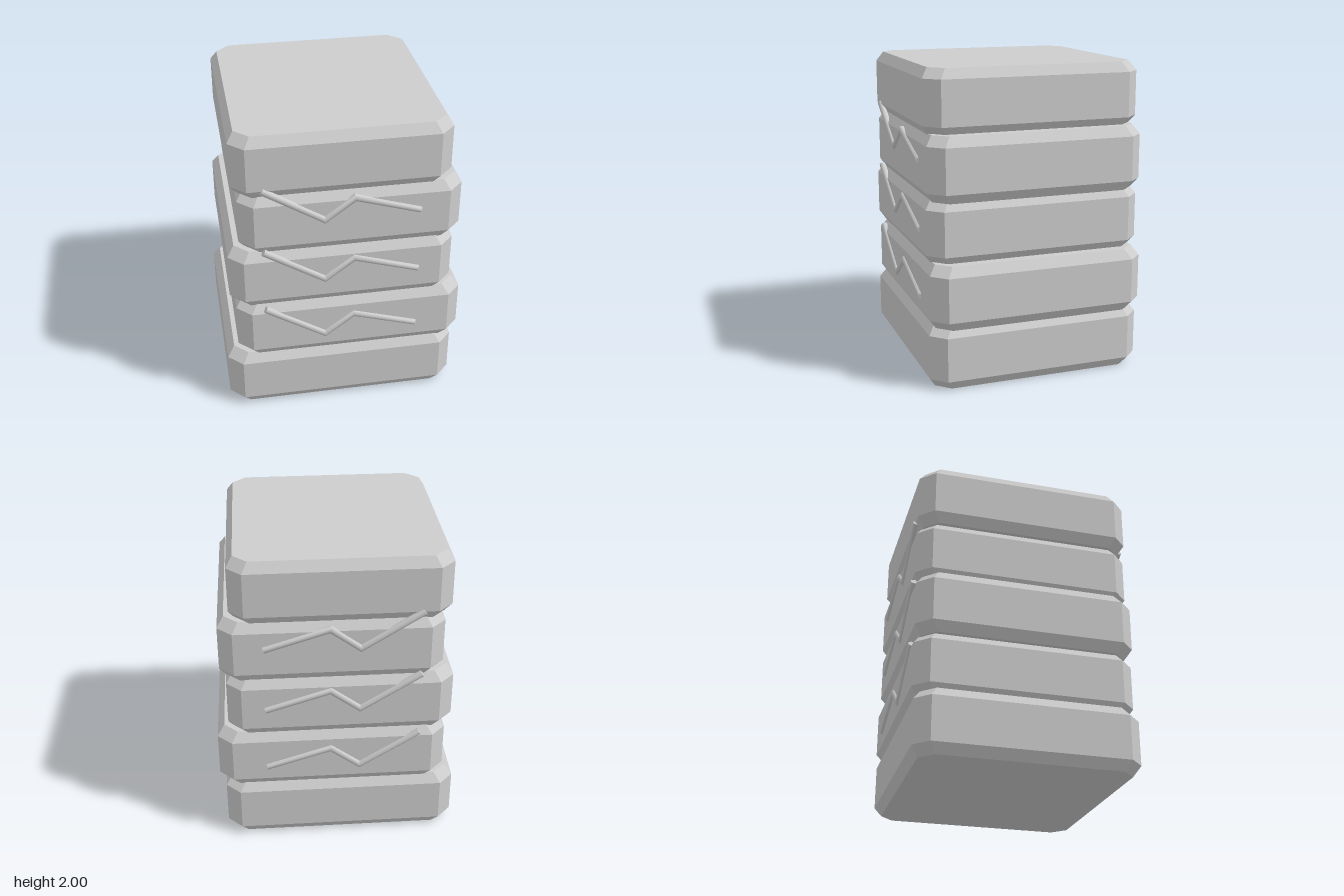
import * as THREE from 'three';
import { toCreasedNormals } from 'three/addons/utils/BufferGeometryUtils.js';
import { ConvexGeometry } from 'three/addons/geometries/ConvexGeometry.js';

const stone = new THREE.MeshStandardMaterial({ color: 0xcccccc });
stone.name = 'grey stone';

const HEIGHT = 0.412, PITCH = 0.397, HALF_DEPTH = 0.707;

// Block with cut corners, drawn in a little at its top and bottom
function blockGeometry(hx, hz) {
  const cut = 0.092, h = HEIGHT / 2, points = [];
  for (const [y, s] of [[-h, 0.94], [-h + 0.063, 1], [h - 0.063, 1], [h, 0.94]]) {
    for (const sx of [-1, 1]) for (const sz of [-1, 1]) {
      points.push(new THREE.Vector3(sx * hx * s, y, sz * (hz - cut) * s));
      points.push(new THREE.Vector3(sx * (hx - cut) * s, y, sz * hz * s));
    }
  }
  return new ConvexGeometry(points);
}

// Round rod bent along a zigzag, with mitred joints
function crackGeometry(path, radius) {
  const last = path.length - 1;
  const mitres = path.map((p, i) => {
    const normal = (a, b) => new THREE.Vector2(a.y - b.y, b.x - a.x).normalize();
    const before = normal(path[Math.max(i - 1, 0)], path[Math.max(i, 1)]);
    const after = normal(path[Math.min(i, last - 1)], path[Math.min(i + 1, last)]);
    const m = before.clone().add(after).normalize();
    return m.divideScalar(m.dot(before));
  });
  const geometry = new THREE.CylinderGeometry(radius, radius, 1, 12, last);
  const pos = geometry.attributes.position;
  for (let v = 0; v < pos.count; v++) {
    const i = Math.round((0.5 - pos.getY(v)) * last), x = pos.getX(v);
    pos.setXY(v, path[i].x + mitres[i].x * x, path[i].y + mitres[i].y * x);
  }
  return toCreasedNormals(geometry, 0.7);
}

export function createModel() {
  const model = new THREE.Group();
  model.name = 'stackedStonePillar';

  const add = (name, geometry, x, y, z) => {
    const mesh = new THREE.Mesh(geometry, stone);
    mesh.name = name;
    mesh.position.set(x, y, z);
    model.add(mesh);
  };

  // Five blocks, shifted alternately to the sides and narrowing upwards
  for (let i = 0; i < 5; i++) {
    add('block' + (i + 1), blockGeometry(0.751 - 0.018 * i, HALF_DEPTH),
      i % 2 ? 0.035 : -0.02, HEIGHT / 2 + PITCH * i, 0);
  }

  // Three cracks on the front and the same on the back
  const path = [[-0.52, 0.165], [-0.138, -0.072], [0.048, 0.066], [0.457, -0.06]]
    .map(([x, y]) => new THREE.Vector2(x, y));
  const crack = crackGeometry(path, 0.022);
  for (let i = 0; i < 3; i++) {
    const y = 0.612 + 0.437 * i;
    add('frontCrack' + (i + 1), crack, 0, y, 0.702);
    add('backCrack' + (i + 1), crack, 0, y, -0.702);
  }
  return model;
}
